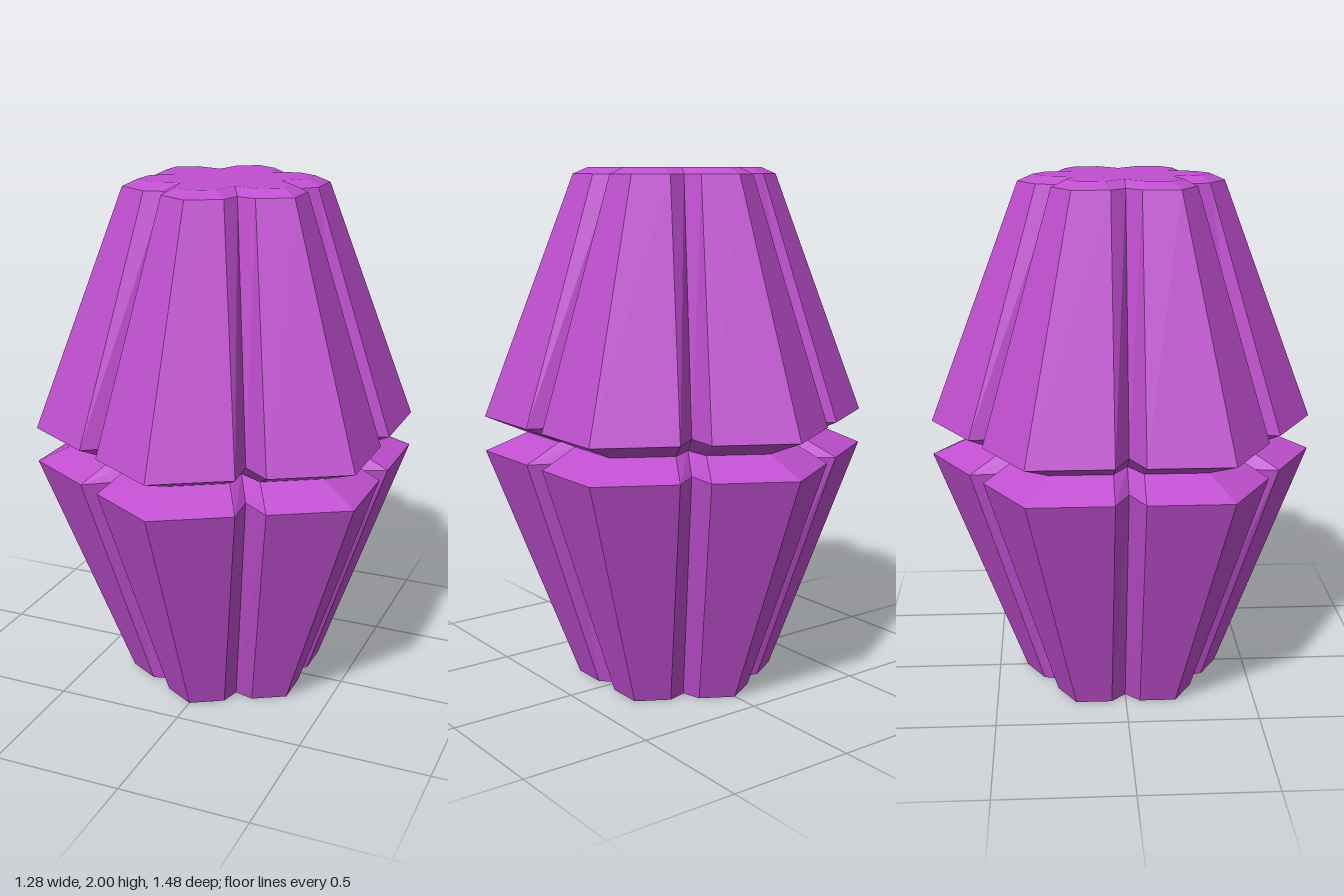
import * as THREE from 'three';

// Outline of a hexagon with a V notch in the middle of every side.
// side = distance to the flat sides, half = half width of a notch, apex = radius of its tip
function ring([y, side, half, apex]) {
  const corner = side * Math.tan(Math.PI / 6);
  const points = [];
  for (let k = 0; k < 6; k++) {
    const c = Math.cos(k * Math.PI / 3), s = Math.sin(k * Math.PI / 3);
    for (const [r, t] of [[side, -half], [apex, 0], [side, half], [side, corner]]) {
      points.push([r * c - t * s, y, r * s + t * c]);
    }
  }
  return points;
}

// Skin between rings listed along the profile; a cap fans out from the axis
function loft(name, material, levels, cap) {
  const rings = levels.map(ring);
  const positions = [];
  for (let j = 0; j < rings.length - 1; j++) {
    const low = rings[j], up = rings[j + 1];
    for (let i = 0; i < low.length; i++) {
      const n = (i + 1) % low.length;
      positions.push(...low[i], ...up[i], ...low[n], ...low[n], ...up[i], ...up[n]);
    }
  }
  if (cap) {
    const edge = cap === 'top' ? rings[rings.length - 1] : rings[0];
    const centre = [0, edge[0][1], 0];
    edge.forEach((p, i) => {
      const q = edge[(i + 1) % edge.length];
      positions.push(...centre, ...(cap === 'top' ? [...q, ...p] : [...p, ...q]));
    });
  }
  const geometry = new THREE.BufferGeometry();
  geometry.setAttribute('position', new THREE.Float32BufferAttribute(positions, 3));
  geometry.computeVertexNormals();
  const mesh = new THREE.Mesh(geometry, material);
  mesh.name = name;
  return mesh;
}

export function createModel() {
  const group = new THREE.Group();
  group.name = 'notchedCrystal';
  const material = new THREE.MeshStandardMaterial({ color: 0xc04fd0, flatShading: true });

  // Levels: [height, side distance, notch half width, notch tip radius]
  const bottomInset = [0.025, 0.285, 0.075, 0.21];
  const bottomRim = [0, 0.335, 0.055, 0.28];
  const lowerEdge = [0.92, 0.64, 0.055, 0.52];
  const waist = [0.99, 0.5, 0.055, 0.41];
  const upperEdge = [1.055, 0.64, 0.055, 0.52];
  const topRim = [1.975, 0.335, 0.055, 0.28];
  const topInset = [2, 0.285, 0.075, 0.21];

  group.add(
    loft('recessedBase', material, [bottomInset, bottomRim], 'bottom'),
    loft('lowerBody', material, [bottomRim, lowerEdge]),
    loft('waistGroove', material, [lowerEdge, waist, upperEdge]),
    loft('upperBody', material, [upperEdge, topRim]),
    loft('bevelledTop', material, [topRim, topInset], 'top')
  );
  return group;
}
